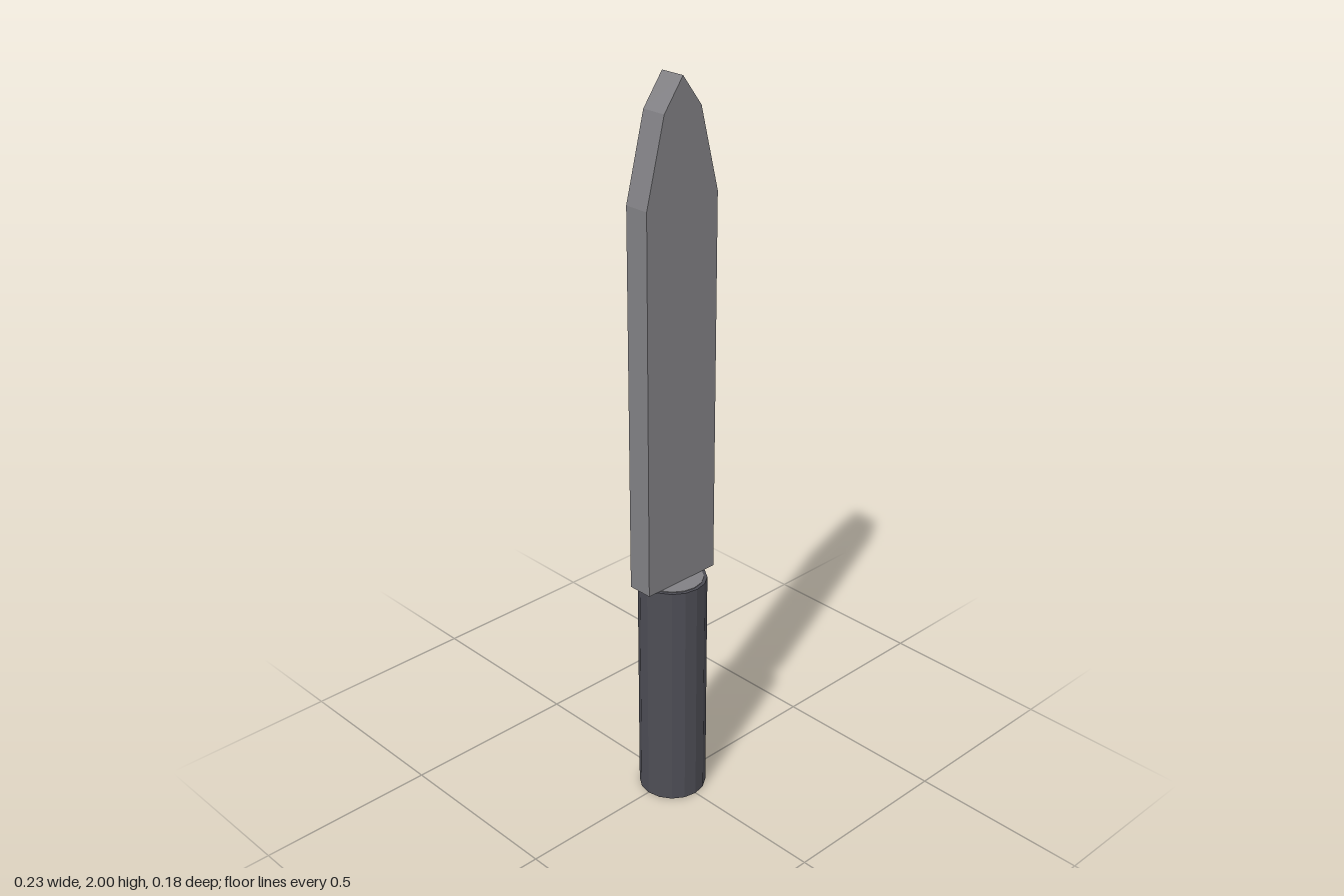
import * as THREE from 'three';

const HANDLE_TOP = 0.66;
const HANDLE_RADIUS = 0.092;
const BLADE_DEPTH = 0.07;

export function createModel() {
  const steel = new THREE.MeshStandardMaterial({ color: 0x818084, flatShading: true });
  steel.name = 'steel grey';
  const grip = new THREE.MeshStandardMaterial({ color: 0x4d4d55, flatShading: true });
  grip.name = 'dark grip';

  const model = new THREE.Group();
  model.name = 'knife';
  const add = (name, geometry, material, y = 0) => {
    const mesh = new THREE.Mesh(geometry, material);
    mesh.name = name;
    mesh.position.y = y;
    model.add(mesh);
  };

  // Sixteen-sided grip: dark side and rim, steel butt
  add('handle', new THREE.CylinderGeometry(HANDLE_RADIUS, HANDLE_RADIUS, HANDLE_TOP - 0.002, 16),
    [grip, grip, steel], (HANDLE_TOP - 0.002) / 2);

  // Steel collar plate, leaving a narrow dark rim around it
  add('collar', new THREE.CylinderGeometry(0.083, 0.083, 0.002, 16), steel, HANDLE_TOP - 0.001);

  // Flat blade with a two-step taper, mirrored about x = 0
  const side = [[0.117, HANDLE_TOP], [0.117, 1.7], [0.06, 1.92]];
  const outline = [
    ...side, [0, 2],
    ...side.map(([x, y]) => [-x, y]).reverse(),
  ].map(([x, y]) => new THREE.Vector2(x, y));
  const blade = new THREE.ExtrudeGeometry(new THREE.Shape(outline), { depth: BLADE_DEPTH, bevelEnabled: false });
  blade.translate(0, 0, -BLADE_DEPTH / 2);
  add('blade', blade, steel);

  return model;
}
